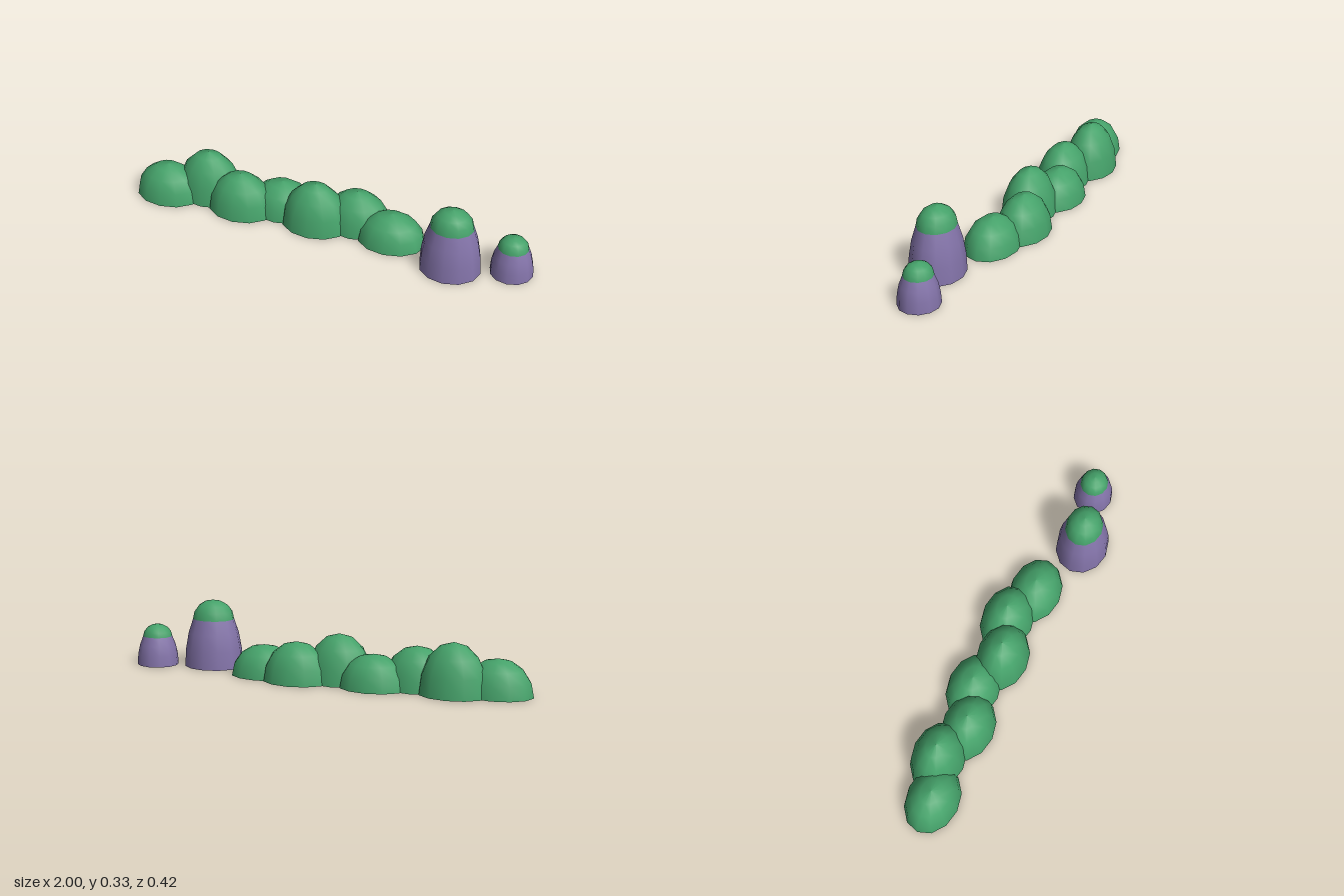
import * as THREE from 'three';

const green = new THREE.MeshStandardMaterial({ color: 0x45a26a, side: THREE.DoubleSide });
green.name = 'leaf green';
const purple = new THREE.MeshStandardMaterial({ color: 0x8474aa, side: THREE.DoubleSide });
purple.name = 'muted purple';

// Open elliptical dome, cut off at the given angle above its base
function dome(name, material, [x, y, z], [rx, ry, rz], rings, maxAngle = Math.PI / 2) {
  const profile = [];
  for (let i = 0; i <= rings; i++) {
    const a = (maxAngle * i) / rings;
    profile.push(new THREE.Vector2(Math.max(Math.cos(a), 0), Math.sin(a)));
  }
  const geometry = new THREE.LatheGeometry(profile, 12);
  geometry.scale(rx, ry, rz);
  const mesh = new THREE.Mesh(geometry, material);
  mesh.name = name;
  mesh.position.set(x, y, z);
  return mesh;
}

// Purple mound with a green cap closing its cut top
function cappedMound(name, x, z, rx, ry, rz, capHeight) {
  const group = new THREE.Group();
  group.name = name;
  const cut = Math.PI / 4;
  group.add(
    dome('moundBody', purple, [0, 0, 0], [rx, ry, rz], 3, cut),
    dome('moundCap', green, [0, ry * Math.sin(cut), 0],
      [rx * Math.cos(cut), capHeight, rz * Math.cos(cut)], 4)
  );
  group.position.set(x, 0, z);
  return group;
}

export function createModel() {
  const model = new THREE.Group();
  model.name = 'bushesAndMounds';

  // Zigzag row of overlapping bushes
  const hedge = new THREE.Group();
  hedge.name = 'hedge';
  [0.17, 0.243, 0.2, 0.16, 0.23, 0.19, 0.15].forEach((height, i) => {
    const z = i % 2 ? -0.085 : -0.023;
    hedge.add(dome('bush' + (i + 1), green, [-0.834 + i * 0.19, 0, z], [0.166, height, 0.125], 4));
  });
  model.add(hedge);

  // Two capped mounds at the end of the row
  model.add(
    cappedMound('largeMound', 0.623, 0.085, 0.146, 0.331, 0.126, 0.093),
    cappedMound('smallMound', 0.898, 0.022, 0.102, 0.198, 0.095, 0.06)
  );
  return model;
}
